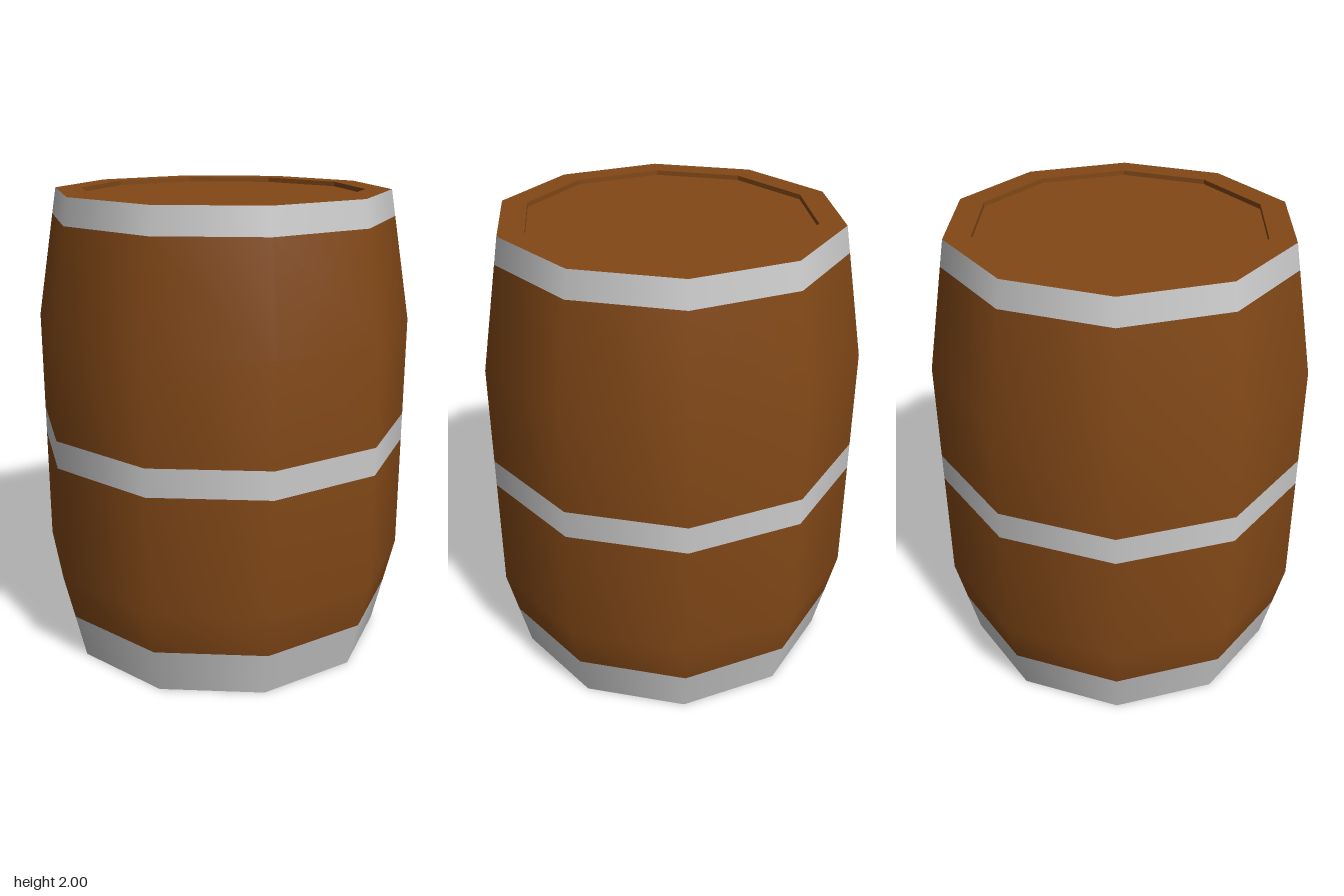
import * as THREE from 'three';

const SIDES = 10;
const START = Math.PI / 2; // puts a corner on +x and -x

const wood = new THREE.MeshStandardMaterial({ color: 0x824817 });
const woodFlat = new THREE.MeshStandardMaterial({ color: 0x824817, flatShading: true });
const metal = new THREE.MeshStandardMaterial({ color: 0xcccccc });

function lathe(profile) {
  const points = profile.map(([r, y]) => new THREE.Vector2(r, y));
  return new THREE.LatheGeometry(points, SIDES, START);
}

// Keep only rows from..to of a lathe, so neighbouring bands share smooth normals
function latheRows(geometry, rows, from, to) {
  const slice = geometry.clone();
  const index = Array.from(geometry.index.array);
  slice.setIndex(index.filter((_, k) => {
    const row = Math.floor(k / 6) % rows;
    return row >= from && row < to;
  }));
  return slice;
}

export function createModel() {
  const group = new THREE.Group();
  group.name = 'barrel';

  const add = (name, geometry, material) => {
    const mesh = new THREE.Mesh(geometry, material);
    mesh.name = name;
    group.add(mesh);
  };

  // Side wall: bulging profile from bottom to top
  const profile = [
    [0.712, 0], [0.759, 0.2], [0.806, 0.4], [0.806, 0.9],
    [0.806, 1.02], [0.806, 1.45], [0.731, 1.89], [0.712, 2],
  ];
  const side = lathe(profile);
  const bands = [
    ['bottomHoop', 0, 1, metal],
    ['lowerStaves', 1, 3, wood],
    ['middleHoop', 3, 4, metal],
    ['upperStaves', 4, 6, wood],
    ['topHoop', 6, 7, metal],
  ];
  for (const [name, from, to, material] of bands) {
    add(name, latheRows(side, profile.length - 1, from, to), material);
  }

  // Flat rim with a shallow recessed lid, and the closed base
  add('lid', lathe([[0.712, 2], [0.602, 2], [0.602, 1.98], [0, 1.98]]), woodFlat);
  add('base', lathe([[0, 0], [0.712, 0]]), woodFlat);

  return group;
}
